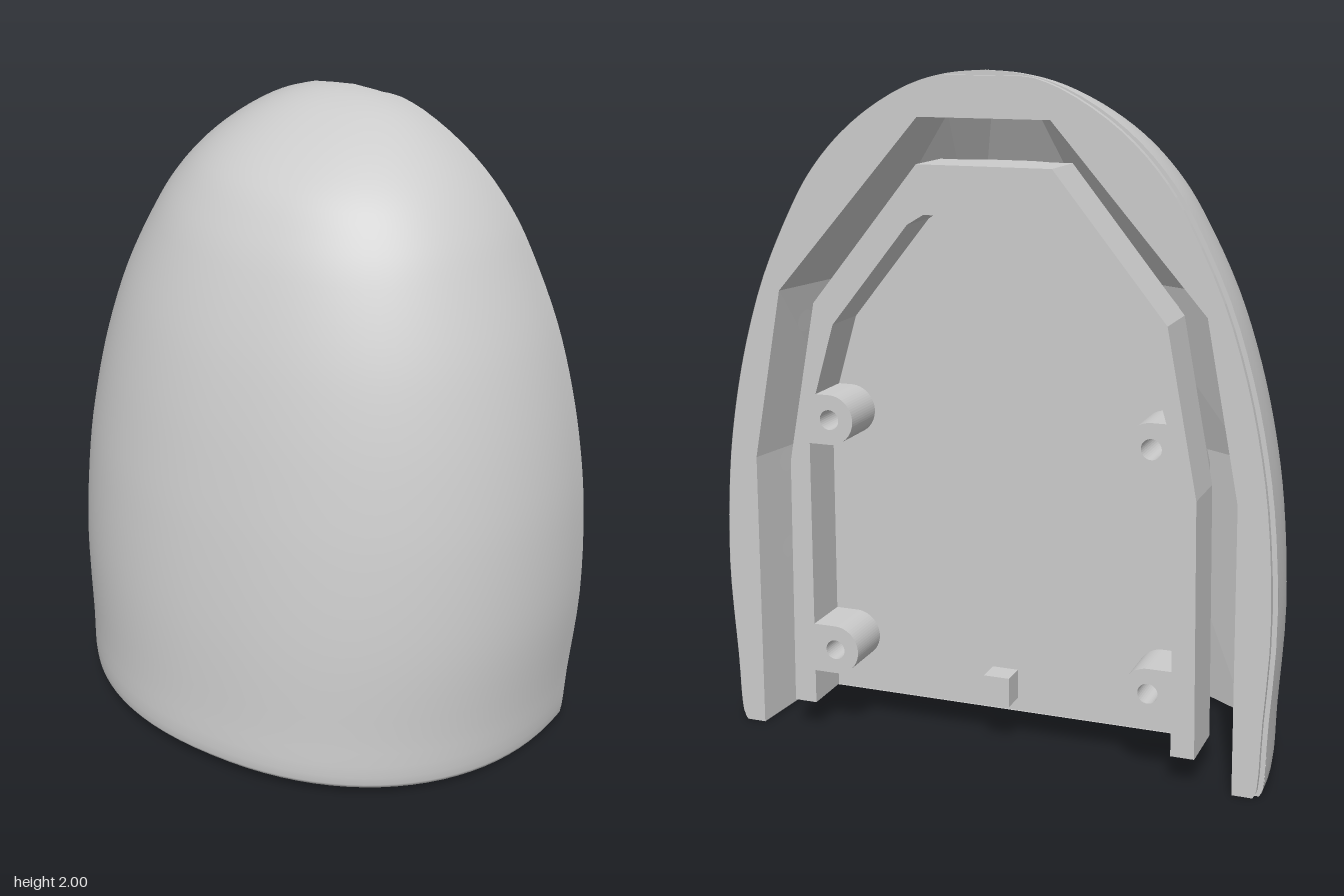
import * as THREE from 'three';

const BACK = -0.43, LIP = -0.41;
const material = new THREE.MeshStandardMaterial({ color: 0xcccccc, side: THREE.DoubleSide });
const flatMaterial = new THREE.MeshStandardMaterial({ color: 0xcccccc, side: THREE.DoubleSide, flatShading: true });

// Half width, height and front z of the domed shell, bottom to top
const profile = new THREE.CatmullRomCurve3([
  [0.815, 0, 0.41], [0.825, 0.02, 0.424], [0.835, 0.2, 0.418], [0.852, 0.5, 0.4], [0.838, 0.8, 0.365],
  [0.81, 1, 0.33], [0.765, 1.2, 0.287], [0.7, 1.4, 0.23], [0.605, 1.6, 0.15], [0.545, 1.7, 0.095],
  [0.46, 1.8, 0.02], [0.35, 1.89, -0.1], [0.22, 1.96, -0.24], [0.11, 1.99, -0.335], [0, 2, LIP],
].map(p => new THREE.Vector3(...p)));

// The lower edge rises towards the front
const bottomY = z => 0.05 * Math.max(0, z - LIP) / 0.83;

function shellPoint(u, v) {
  const p = profile.getPoint(v), a = u * Math.PI;
  const c = Math.cos(a), s = Math.max(0, Math.sin(a)), e = 2 / 2.2;
  const x = p.x * Math.sign(c) * Math.abs(c) ** e;
  const z = LIP + (p.z - LIP) * s ** e;
  return new THREE.Vector3(x, p.y + bottomY(z) * Math.max(0, 1 - p.y / 0.8), z);
}

function domeGeometry(nu = 48, nv = 56) {
  const pos = [], index = [];
  for (let j = 0; j <= nv; j++)
    for (let i = 0; i <= nu; i++) pos.push(...shellPoint(i / nu, j / nv).toArray());
  for (let j = 0; j < nv; j++)
    for (let i = 0; i < nu; i++) {
      const a = j * (nu + 1) + i, b = a + 1, c = a + nu + 1, d = c + 1;
      index.push(a, c, b);
      if (j < nv - 1) index.push(b, c, d);
    }
  const g = new THREE.BufferGeometry();
  g.setAttribute('position', new THREE.Float32BufferAttribute(pos, 3));
  g.setIndex(index);
  g.computeVertexNormals();
  return g;
}

// Faceted loft: each level is a list of points, with optional end caps
function loftGeometry(levels, capBottom, capTop) {
  const pos = [], tri = (a, b, c) => pos.push(...a.toArray(), ...b.toArray(), ...c.toArray());
  for (let j = 0; j + 1 < levels.length; j++)
    for (let i = 0; i + 1 < levels[j].length; i++) {
      const [a, b, c, d] = [levels[j][i], levels[j][i + 1], levels[j + 1][i], levels[j + 1][i + 1]];
      tri(a, c, b);
      tri(b, c, d);
    }
  const cap = r => { for (let i = 1; i + 1 < r.length; i++) tri(r[0], r[i], r[i + 1]); };
  if (capBottom) cap(levels[0]);
  if (capTop) cap(levels[levels.length - 1]);
  const g = new THREE.BufferGeometry();
  g.setAttribute('position', new THREE.Float32BufferAttribute(pos, 3));
  g.computeVertexNormals();
  return g;
}

// Six-point half ring at height y from [x, depth] pairs on one side
const halfRing = (y, pairs) => [...pairs, ...pairs.slice().reverse().map(([x, d]) => [-x, d])]
  .map(([x, d]) => new THREE.Vector3(x, y, BACK + d));

// Mirror one side of an arch into a full [x, y] path
const arch = half => [...half, ...half.slice().reverse().map(([x, y]) => [-x, y])]
  .map(([x, y]) => new THREE.Vector2(x, y));

function slab(points, z0, z1, hole) {
  const shape = new THREE.Shape(points);
  if (hole) shape.holes.push(hole);
  return new THREE.ExtrudeGeometry(shape, { depth: z1 - z0, bevelEnabled: false, curveSegments: 16 }).translate(0, 0, z0);
}

const horseshoe = (outer, inner, z0, z1) => slab([...outer, ...inner.slice().reverse()], z0, z1);

export function createModel() {
  const group = new THREE.Group();
  const add = (name, geometry, mat = material, parent = group) => {
    const mesh = new THREE.Mesh(geometry, mat);
    mesh.name = name;
    parent.add(mesh);
    return mesh;
  };

  add('outerShell', domeGeometry());

  // Back rim with a small step around its outside
  const cavityArch = arch([[0.74, 0], [0.735, 0.85], [0.64, 1.36], [0.195, 1.87]]);
  const outline = inset => {
    const half = [];
    for (let i = 0; i <= 40; i++) {
      const p = profile.getPoint(i / 40);
      half.push([Math.max(0.001, p.x - inset * Math.min(1, p.x / 0.3)), Math.min(p.y, 2 - inset)]);
    }
    return arch(half);
  };
  add('rimStep', horseshoe(outline(0.001), cavityArch, LIP, LIP + 0.005));
  add('rimLip', horseshoe(outline(0.015), cavityArch, BACK, LIP));

  // Faceted inside of the shell
  const cavity = [[0, 0.74, 0.74], [0.85, 0.735, 0.69], [1.36, 0.64, 0.55], [1.87, 0.195, 0.25]]
    .map(([y, c, g]) => halfRing(y, [[c, 0], [0.89 * c, 0.68 * g], [0.365 * c, g]]));
  for (const p of cavity[0]) p.y = bottomY(p.z);
  add('shellCavity', loftGeometry(cavity, false, true), flatMaterial);

  // Lower edge between the outside and the cavity
  const edge = [];
  for (let i = 0; i <= 48; i++) edge.push(shellPoint(i / 48, 0));
  const edgeShape = new THREE.Shape([...edge, ...cavity[0].slice().reverse()].map(p => new THREE.Vector2(p.x, p.z)));
  const edgeGeometry = new THREE.ShapeGeometry(edgeShape).rotateX(Math.PI / 2);
  const ep = edgeGeometry.attributes.position;
  for (let i = 0; i < ep.count; i++) ep.setY(i, bottomY(ep.getZ(i)));
  edgeGeometry.computeVertexNormals();
  add('lowerEdge', edgeGeometry);

  // Inner housing standing inside the shell
  const housing = [[0.09, 0.63, 0.62], [0.85, 0.62, 0.58], [1.33, 0.53, 0.45], [1.74, 0.2, 0.2]]
    .map(([y, c, g]) => halfRing(y, [[c, 0.15], [0.9 * c, Math.max(0.16, 0.68 * g)], [0.365 * c, g]]));
  add('innerHousing', loftGeometry(housing, true, true), flatMaterial);

  // Raised frame around the recessed back plate
  const frameArch = arch([[0.63, 0.09], [0.62, 0.85], [0.53, 1.33], [0.2, 1.74]]);
  const recessArch = arch([[0.56, 0.09], [0.555, 0.98], [0.47, 1.27], [0.23, 1.57], [0.18, 1.6]]);
  add('frame', horseshoe(frameArch, recessArch, BACK, BACK + 0.16));
  add('backPlate', slab(frameArch, BACK + 0.155, BACK + 0.175));
  add('plateTab', new THREE.BoxGeometry(0.08, 0.09, 0.08).translate(0, 0.175, BACK + 0.12));

  // Screw bosses and wall holes, mirrored left and right
  for (const side of [1, -1]) {
    const half = new THREE.Group();
    half.name = side > 0 ? 'leftFittings' : 'rightFittings';
    half.scale.x = side;
    group.add(half);

    for (const y of [0.27, 0.985]) {
      const boss = new THREE.Path().moveTo(0.58, y + 0.075).lineTo(0.49, y + 0.075);
      boss.absarc(0.49, y, 0.075, Math.PI / 2, Math.PI * 1.5, false).lineTo(0.58, y - 0.075);
      const hole = new THREE.Path().absarc(0.49, y, 0.03, 0, Math.PI * 2, true);
      add('screwBoss', slab(boss.getPoints(16), BACK, BACK + 0.16, hole), material, half);
    }

    for (const y of [0.53, 0.81, 1.08, 1.25, 1.55, 1.68]) {
      const j = y < 0.85 ? 0 : y < 1.36 ? 1 : 2;
      const [a, b, c, d] = [cavity[j][0], cavity[j][1], cavity[j + 1][0], cavity[j + 1][1]];
      const t = (y - a.y) / (c.y - a.y);
      const p = a.clone().lerp(c, t), q = b.clone().lerp(d, t);
      const along = q.clone().sub(p).normalize();
      const normal = along.clone().cross(c.clone().sub(a)).normalize();
      if (normal.x > 0) normal.negate();
      const disc = add('wallHole', new THREE.CircleGeometry(0.034, 20), material, half);
      disc.position.copy(p).addScaledVector(along, 0.14).addScaledVector(normal, 0.006);
      disc.quaternion.setFromUnitVectors(new THREE.Vector3(0, 0, 1), normal);
    }
  }
  return group;
}
